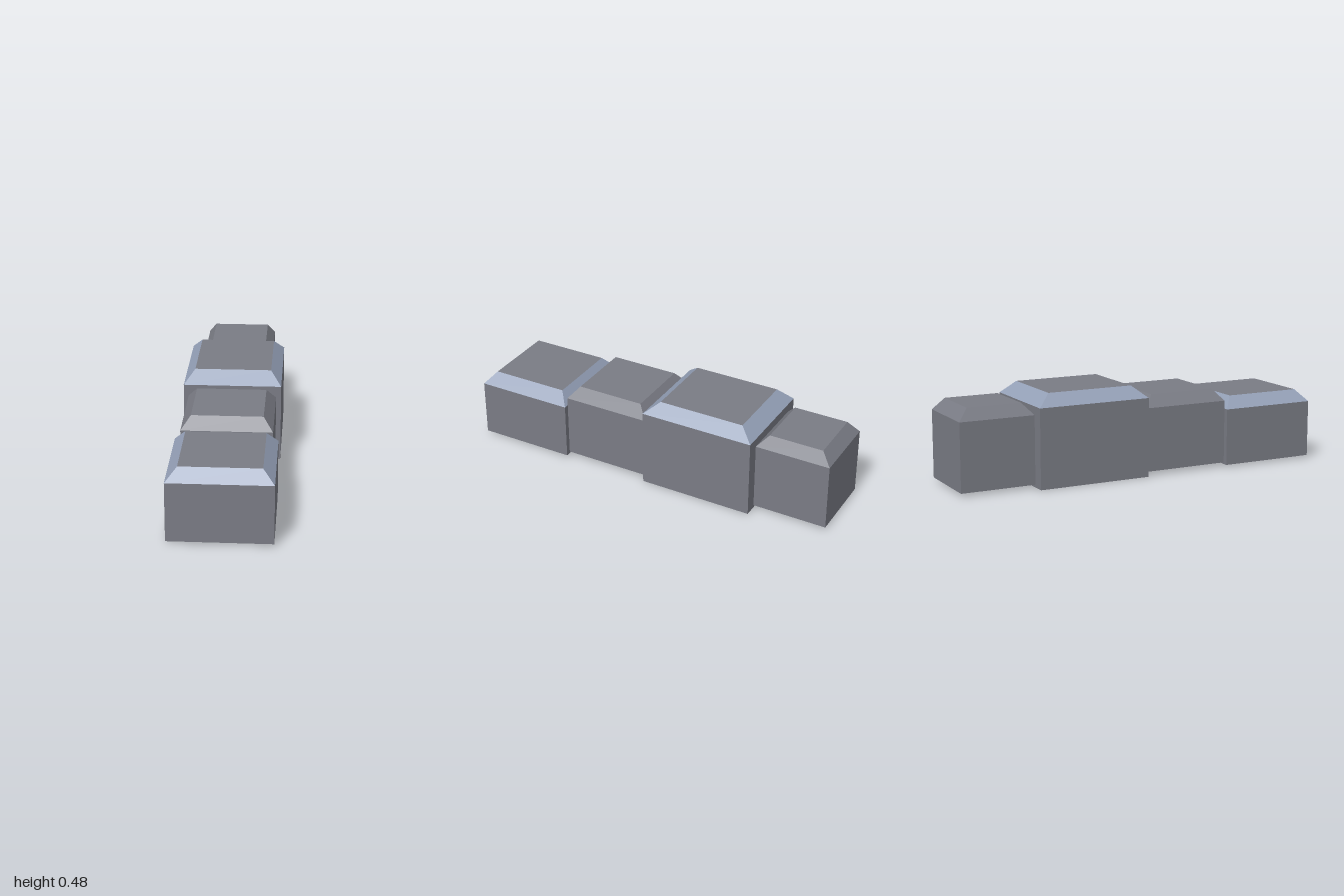
import * as THREE from 'three';

const grey = new THREE.MeshStandardMaterial({ color: 0x7a7c85, side: THREE.DoubleSide });
grey.name = 'wall grey';
const blue = new THREE.MeshStandardMaterial({ color: 0x95a1b8, side: THREE.DoubleSide });
blue.name = 'slate blue';

// Rectangular ring of corners, counter-clockwise seen from above
const ring = (w, y, back, front) => [[-w, y, front], [w, y, front], [w, y, back], [-w, y, back]];

// Flat-shaded mesh from a list of four-cornered faces
function quadMesh(name, quads, material) {
  const points = quads.flatMap(([a, b, c, d]) => [a, b, c, a, c, d]).flat();
  const geometry = new THREE.BufferGeometry();
  geometry.setAttribute('position', new THREE.Float32BufferAttribute(points, 3));
  geometry.computeVertexNormals();
  const mesh = new THREE.Mesh(geometry, material);
  mesh.name = name;
  return mesh;
}

// Four side faces joining two rings
const band = (low, high) => low.map((p, i) => {
  const j = (i + 1) % 4;
  return [p, low[j], high[j], high[i]];
});

// Hollow block, open below, with a sloping border round its flat roof
function block({ name, w, topW, y, z, topZ, slope }) {
  const base = ring(w, y[0], ...z);
  const eaves = ring(w, y[1], ...z);
  const roof = ring(topW, y[2], ...topZ);
  const group = new THREE.Group();
  group.name = name;
  group.add(
    quadMesh('walls', band(base, eaves), grey),
    quadMesh('roofSlope', band(eaves, roof), slope),
    quadMesh('flatRoof', [roof], grey),
  );
  return group;
}

export function createModel() {
  const model = new THREE.Group();
  model.name = 'steppedBlockRow';
  // y: base, eaves, roof; z: back, front
  const blocks = [
    { name: 'frontBlock', w: 0.257, topW: 0.2, y: [0.011, 0.312, 0.374], z: [0.48, 1], topZ: [0.53, 0.945], slope: blue },
    { name: 'frontMiddleBlock', w: 0.23, topW: 0.181, y: [0.02, 0.355, 0.417], z: [0.01, 0.48], topZ: [0.063, 0.427], slope: grey },
    { name: 'backMiddleBlock', w: 0.256, topW: 0.2, y: [0, 0.414, 0.477], z: [-0.602, 0.008], topZ: [-0.53, -0.067], slope: blue },
    { name: 'backBlock', w: 0.192, topW: 0.151, y: [0.015, 0.37, 0.431], z: [-1, -0.603], topZ: [-0.945, -0.658], slope: grey },
  ];
  blocks.forEach((b) => model.add(block(b)));
  return model;
}
